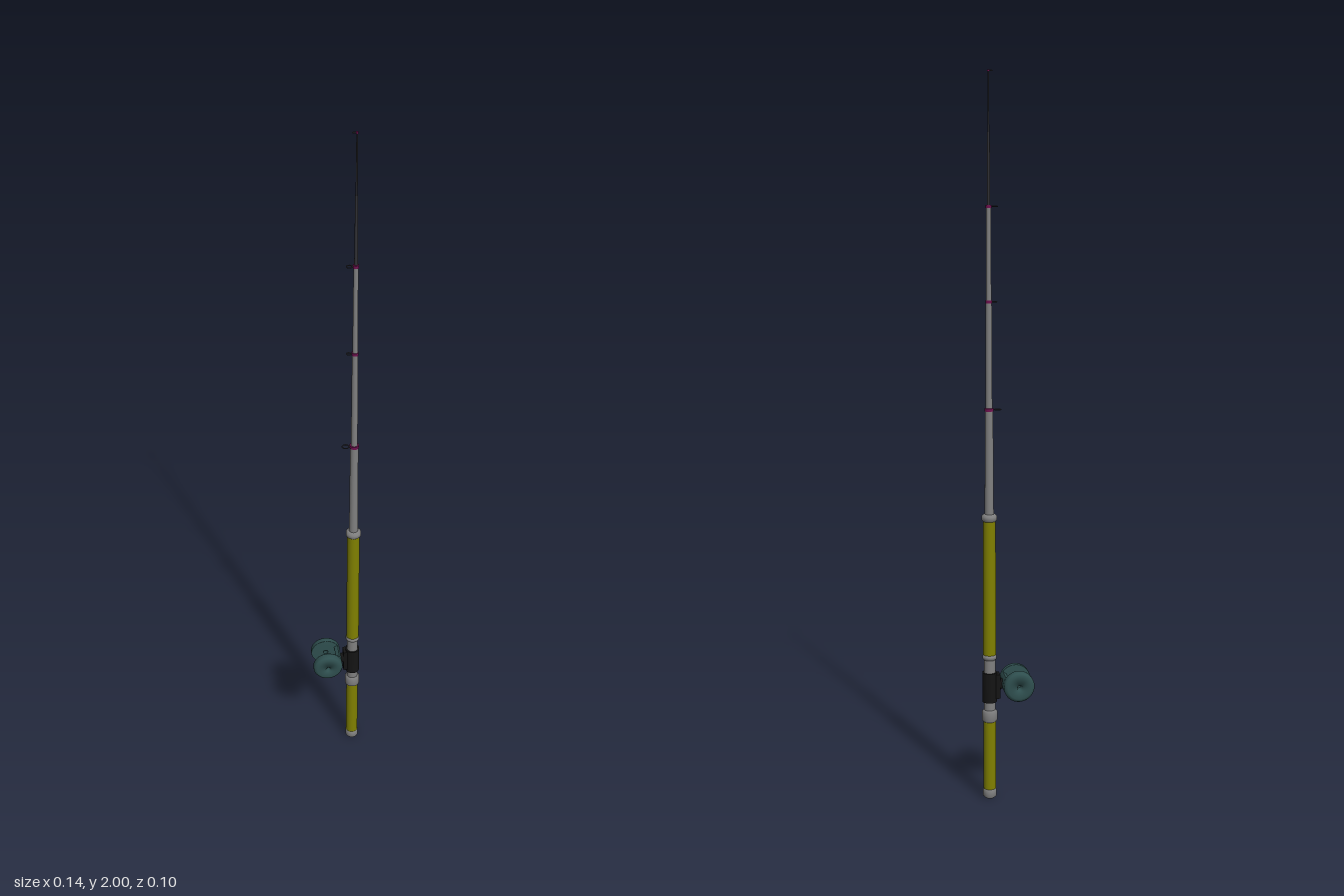
import * as THREE from 'three';

const AX = 0.048; // x of the rod axis
const mat = (color, side = THREE.FrontSide) => new THREE.MeshStandardMaterial({ color, side });
const olive = mat(0x808000), grey = mat(0x808080), dark = mat(0x303034);
const black = mat(0x141414), slate = mat(0x2f4f4f), purple = mat(0x70104f);

export function createModel() {
  const root = new THREE.Group();

  function add(name, geometry, material, x = 0, y = 0, z = 0, parent = root) {
    const m = new THREE.Mesh(geometry, material);
    m.name = name;
    m.position.set(x, y, z);
    parent.add(m);
    return m;
  }
  // Upright tapered tube on the rod axis, from y0 to y1
  const rod = (name, y0, y1, r0, r1, material) =>
    add(name, new THREE.CylinderGeometry(r1, r0, y1 - y0, 24), material, AX, (y0 + y1) / 2);
  // Rounded ring around the rod
  function collar(name, y0, y1, r) {
    const b = Math.min(0.006, (y1 - y0) / 3);
    const pts = [[0, y0], [r - b, y0], [r, y0 + b], [r, y1 - b], [r - b, y1], [0, y1]];
    add(name, new THREE.LatheGeometry(pts.map(p => new THREE.Vector2(...p)), 24), grey, AX);
  }

  // Handle
  collar('buttCap', 0, 0.03, 0.019);
  rod('rearGrip', 0.028, 0.23, 0.0175, 0.0175, olive);
  collar('rearCollar', 0.225, 0.262, 0.0215);
  rod('reelSeat', 0.26, 0.41, 0.016, 0.016, grey);
  collar('seatCollar', 0.405, 0.424, 0.02);
  rod('foreGrip', 0.422, 0.803, 0.0185, 0.0175, olive);
  collar('foreCollar', 0.8, 0.822, 0.0215);

  // Telescoping blank
  rod('blankLower', 0.82, 1.11, 0.0125, 0.011, grey);
  rod('blankMiddle', 1.11, 1.4, 0.009, 0.008, grey);
  rod('blankUpper', 1.4, 1.65, 0.007, 0.006, grey);
  rod('blankTip', 1.65, 1.84, 0.0045, 0.0035, dark);
  rod('tipEnd', 1.84, 1.996, 0.0025, 0.002, dark);

  // Line guides: binding on the blank, a foot and a ring
  [[1.11, 0.0125, 0.009], [1.4, 0.009, 0.0055], [1.65, 0.0075, 0.007], [1.996, 0.0032, 0.0025]].forEach(([y, r, ring]) => {
    const guide = new THREE.Group();
    guide.name = 'lineGuide';
    guide.position.set(AX, y, 0);
    root.add(guide);
    const h = y > 1.9 ? 0.004 : 0.008;
    add('binding', new THREE.CylinderGeometry(r, r, h, 20), purple, 0, 0, 0, guide);
    const cx = -r - ring - 0.002;
    const loop = add('ring', new THREE.TorusGeometry(ring, 0.0015, 8, 24), dark, cx, 0, 0, guide);
    loop.rotation.x = Math.PI / 2;
    add('foot', new THREE.BoxGeometry(0.006, 0.003, 0.003), dark, -r, 0, 0, guide);
  });

  // Reel clamp and its stem
  rod('reelClamp', 0.285, 0.37, 0.0205, 0.0205, black);
  add('clampBlock', new THREE.BoxGeometry(0.024, 0.07, 0.026), black, 0.032, 0.33, 0);
  const stem = add('reelStem', new THREE.CylinderGeometry(0.011, 0.022, 0.022, 20), black, 0.016, 0.335, 0);
  stem.rotation.z = Math.PI / 2;
  stem.scale.z = 0.6;

  // Reel: two bevelled side discs with a small centre hole
  const reel = new THREE.Group();
  reel.name = 'reel';
  reel.position.set(-0.029, 0.336, -0.0015);
  root.add(reel);
  const discProfile = [[0.007, 0], [0.042, 0], [0.043, 0.002], [0.043, 0.014],
    [0.04, 0.019], [0.033, 0.023], [0.007, 0.023], [0.007, 0]]
    .map(p => new THREE.Vector2(...p));
  const discGeo = new THREE.LatheGeometry(discProfile, 40);
  for (const s of [1, -1]) {
    const disc = add(s > 0 ? 'frontDisc' : 'backDisc', discGeo, slate, 0, 0, s * 0.0255, reel);
    disc.rotation.x = s * Math.PI / 2;
  }

  // Curved bridge joining the discs on the rod side
  const arc = new THREE.Shape();
  arc.absarc(0, 0, 0.043, -0.6, 0.6, false);
  arc.absarc(0, 0, 0.031, 0.6, -0.6, true);
  const bridge = new THREE.ExtrudeGeometry(arc, { depth: 0.054, bevelEnabled: false, curveSegments: 16 });
  add('reelBridge', bridge, slate, 0, 0, -0.027, reel);

  return root;
}
